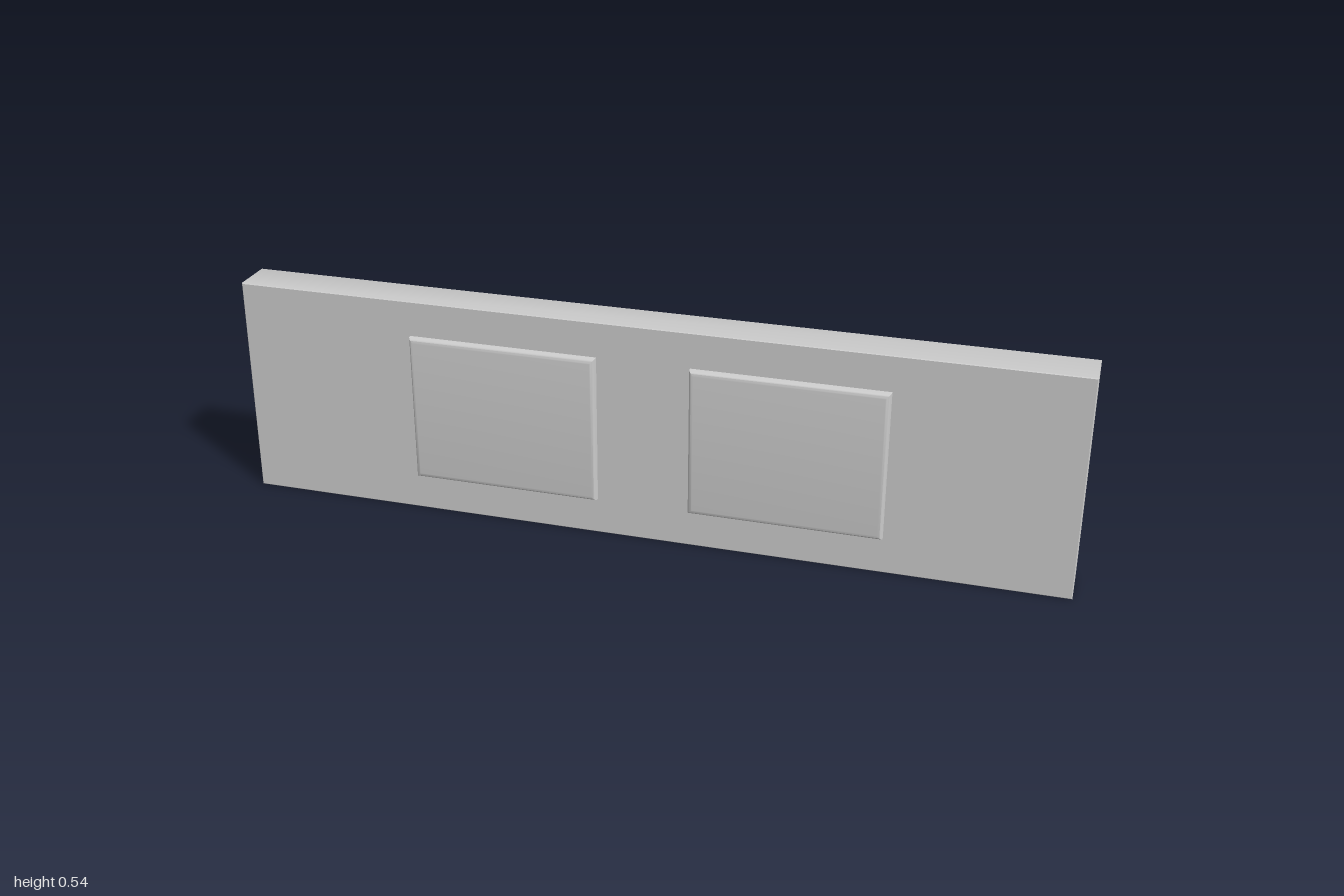
import * as THREE from 'three';
import { toCreasedNormals } from 'three/addons/utils/BufferGeometryUtils.js';

const material = new THREE.MeshStandardMaterial({ color: 0xcccccc, side: THREE.DoubleSide });

// Rectangular loft along z: each ring is [inset, z], ordered back to front
function loftRect(w, h, rings, closeBack) {
  const pos = [], idx = [];
  for (const [inset, z] of rings) {
    const a = w / 2 - inset, b = h / 2 - inset;
    pos.push(-a, -b, z, a, -b, z, a, b, z, -a, b, z);
  }
  for (let r = 0; r < rings.length - 1; r++) {
    for (let i = 0; i < 4; i++) {
      const p = r * 4 + i, q = r * 4 + (i + 1) % 4;
      idx.push(p, q, q + 4, p, q + 4, p + 4);
    }
  }
  const f = (rings.length - 1) * 4;
  idx.push(f, f + 1, f + 2, f, f + 2, f + 3);
  if (closeBack) idx.push(0, 2, 1, 0, 3, 2);
  const geo = new THREE.BufferGeometry();
  geo.setAttribute('position', new THREE.Float32BufferAttribute(pos, 3));
  geo.setIndex(idx);
  return toCreasedNormals(geo, 0.6);
}

export function createModel() {
  const group = new THREE.Group();
  const height = 0.54;

  // Thin tray, open at the back
  const shell = new THREE.Mesh(loftRect(2, height,
    [[0.002, -0.061], [0, -0.058], [0, 0.043], [0.002, 0.045]], false), material);
  shell.name = 'openBackShell';
  shell.position.y = height / 2;
  group.add(shell);

  // Two raised panels with rounded front edges, passing slightly through the plate
  const rings = [[0, 0.03]];
  for (let i = 0; i <= 6; i++) {
    const t = (i / 6) * Math.PI / 2;
    rings.push([0.012 * (1 - Math.cos(t)), 0.05 + 0.012 * Math.sin(t)]);
  }
  const panelGeo = loftRect(0.458, 0.364, rings, true);
  for (const side of [-1, 1]) {
    const panel = new THREE.Mesh(panelGeo, material);
    panel.name = side > 0 ? 'leftPanel' : 'rightPanel';
    panel.position.set(side * 0.34, 0.272, 0);
    group.add(panel);
  }
  return group;
}
